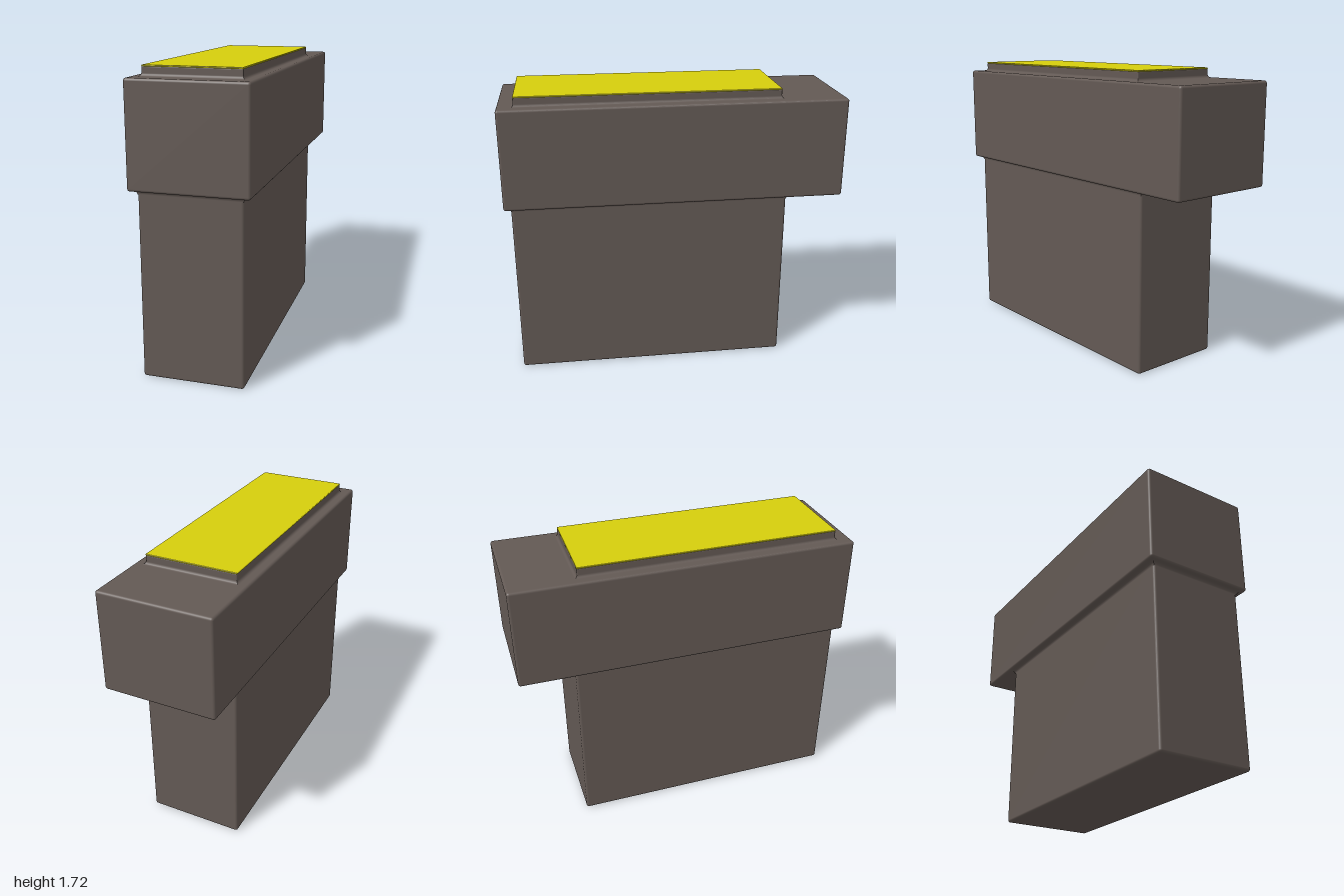
import * as THREE from 'three';
import { RoundedBoxGeometry } from 'three/addons/geometries/RoundedBoxGeometry.js';

const housing = new THREE.MeshStandardMaterial({ color: 0x635954 });
housing.name = 'warm grey housing';
const yellow = new THREE.MeshStandardMaterial({ color: 0xd6ce0c });
yellow.name = 'yellow plate';

// Soft-edged block given by its half width, height range and depth range
function block(name, hx, y0, y1, z0, z1, r, material) {
  const mesh = new THREE.Mesh(new RoundedBoxGeometry(2 * hx, y1 - y0, z1 - z0, 3, r), material);
  mesh.position.set(0, (y0 + y1) / 2, (z0 + z1) / 2);
  mesh.name = name;
  return mesh;
}

// Concave fillet around a block where it meets a horizontal face at height y;
// dir is +1 when the block rises from the face, -1 when it hangs below it
function fillet(name, hx, z0, z1, y, r, dir) {
  const steps = 4, pos = [], normal = [], index = [];
  const corners = [[1, 1], [1, -1], [-1, -1], [-1, 1]];
  for (let side = 0; side < 4; side++) {
    const a = corners[side], b = corners[(side + 1) % 4];
    const nx = (a[0] + b[0]) / 2, nz = (a[1] + b[1]) / 2;
    const base = pos.length / 3;
    for (let i = 0; i <= steps; i++) {
      const t = (i / steps) * Math.PI / 2;
      const out = r * (1 - Math.sin(t)), up = r * (1 - Math.cos(t));
      for (const [sx, sz] of [a, b]) {
        pos.push(sx * (hx + out), y + dir * up, sz > 0 ? z1 + out : z0 - out);
        normal.push(nx * Math.sin(t), dir * Math.cos(t), nz * Math.sin(t));
      }
      if (i < steps) {
        const p = base + 2 * i;
        if (dir > 0) index.push(p, p + 1, p + 2, p + 1, p + 3, p + 2);
        else index.push(p, p + 2, p + 1, p + 1, p + 2, p + 3);
      }
    }
  }
  const g = new THREE.BufferGeometry();
  g.setAttribute('position', new THREE.Float32BufferAttribute(pos, 3));
  g.setAttribute('normal', new THREE.Float32BufferAttribute(normal, 3));
  g.setIndex(index);
  const mat = housing;
  mat.side = THREE.DoubleSide;
  const mesh = new THREE.Mesh(g, mat);
  mesh.name = name;
  return mesh;
}

export function createModel() {
  const model = new THREE.Group();
  model.name = 'steppedBlock';
  model.add(
    // Tall lower body, set towards the front
    block('lowerBody', 0.29, 0, 1.09, -0.67, 0.96, 0.015, housing),
    fillet('lowerBodyFillet', 0.29, -0.67, 0.96, 1.066, 0.02, -1),
    // Wider head overhanging at the back
    block('head', 0.335, 1.066, 1.656, -1, 1, 0.015, housing),
    // Raised pad with its coloured top
    block('raisedPad', 0.271, 1.62, 1.708, -0.617, 0.905, 0.006, housing),
    fillet('raisedPadFillet', 0.271, -0.617, 0.905, 1.656, 0.016, 1),
    block('topPlate', 0.271, 1.706, 1.715, -0.617, 0.905, 0.004, yellow),
  );
  return model;
}
